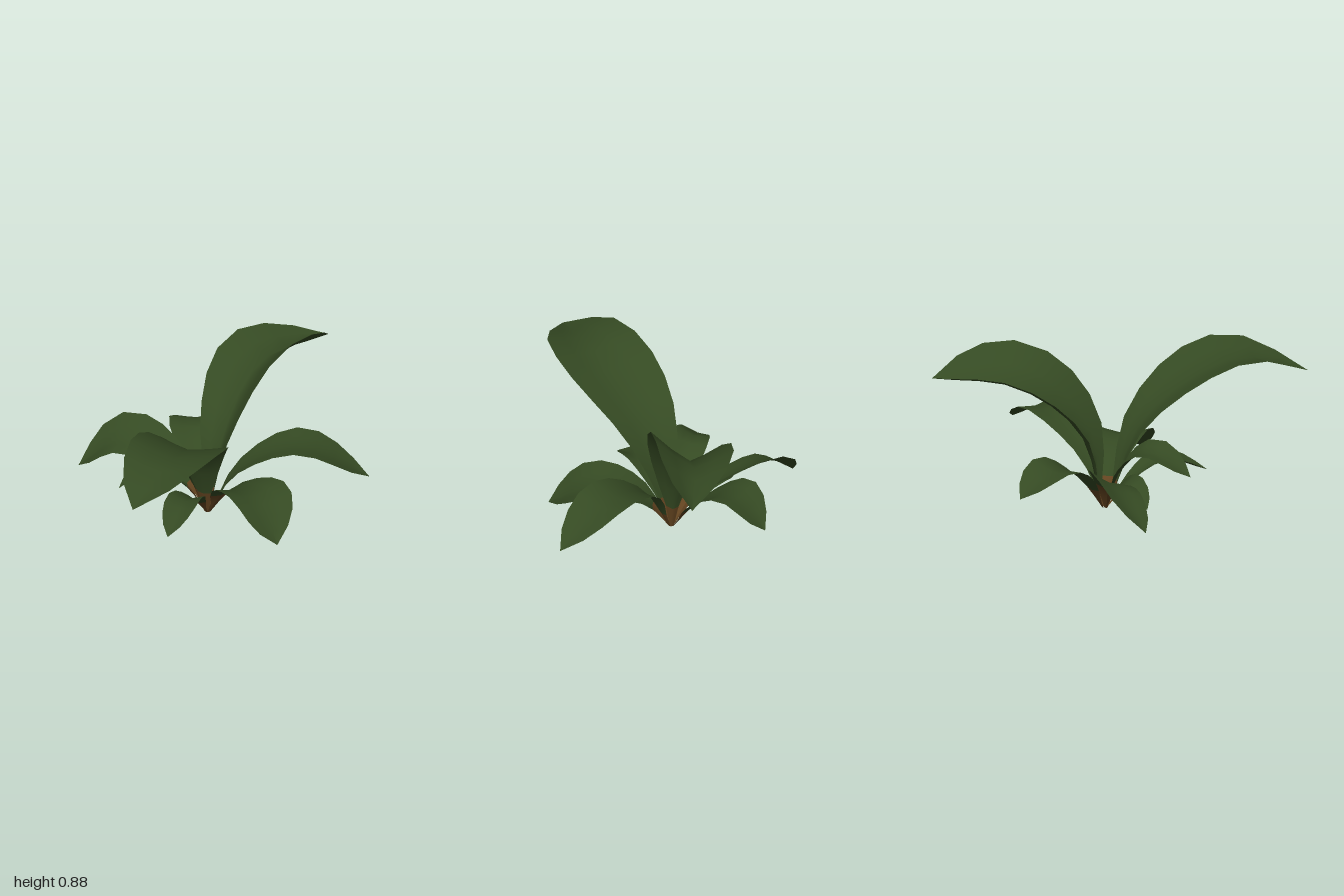
import * as THREE from 'three';

const leafGreen = new THREE.MeshStandardMaterial({ color: 0x354a23, side: THREE.DoubleSide });
leafGreen.name = 'leaf green';
const stemBrown = new THREE.MeshStandardMaterial({ color: 0x634420, side: THREE.DoubleSide });
stemBrown.name = 'stem brown';

const CROWN = new THREE.Vector3(-0.04, 0, -0.14);
const ROWS = 10;
const ACROSS = [-1, -0.5, 0, 0.5, 1];

// A leaf growing from the crown through a lower point and its crest to its tip.
// Looking out from the crown, the lifts raise the right and left edges above the midrib.
function makeLeaf(name, halfWidth, rightLift, leftLift, lower, crest, tip) {
  const end = new THREE.Vector3(...tip);
  const outward = end.clone().sub(CROWN).setY(0).normalize();
  const side = new THREE.Vector3(-outward.z, 0, outward.x);
  const base = CROWN.clone().addScaledVector(outward, 0.015);
  const curve = new THREE.CatmullRomCurve3([
    base, new THREE.Vector3(...lower), new THREE.Vector3(...crest), end,
  ]);

  // Channelled cross-sections, narrow at the stalk and pointed at the tip
  const positions = [];
  for (let i = 0; i <= ROWS; i++) {
    const t = i / ROWS;
    const mid = curve.getPointAt(t);
    const normal = side.clone().cross(curve.getTangentAt(t)).normalize();
    const swell = Math.max(0, Math.sin(Math.PI * t ** 1.52)) ** 0.8;
    const profile = Math.max(swell, 0.05 * (1 - t));
    for (const u of ACROSS) {
      const lift = (u > 0 ? rightLift : leftLift) * Math.abs(u) ** 1.2;
      const p = mid.clone()
        .addScaledVector(side, u * halfWidth * profile)
        .addScaledVector(normal, lift * profile);
      positions.push(p.x, p.y, p.z);
    }
  }

  const n = ACROSS.length;
  const index = [];
  for (let i = 0; i < ROWS; i++) {
    for (let j = 0; j < n - 1; j++) {
      const a = i * n + j;
      index.push(a, a + 1, a + n, a + 1, a + n + 1, a + n);
    }
  }

  const geometry = new THREE.BufferGeometry();
  geometry.setAttribute('position', new THREE.Float32BufferAttribute(positions, 3));
  geometry.setIndex(index);
  geometry.computeVertexNormals();

  // Brown stalk for a fixed length at the base, green blade beyond
  const stalkRows = Math.max(1, Math.round((0.15 / curve.getLength()) * ROWS));
  const split = stalkRows * (n - 1) * 6;
  geometry.addGroup(0, split, 0);
  geometry.addGroup(split, index.length - split, 1);

  const mesh = new THREE.Mesh(geometry, [stemBrown, leafGreen]);
  mesh.name = name;
  return mesh;
}

export function createModel() {
  const plant = new THREE.Group();
  plant.name = 'broadLeafPlant';

  // Two tall arching leaves
  plant.add(
    makeLeaf('frontLargeLeaf', 0.25, 0.06, 0.06, [-0.02, 0.47, 0.08], [0.05, 0.735, 0.6], [0, 0.64, 1]),
    makeLeaf('backLargeLeaf', 0.215, 0.18, 0.09, [0, 0.42, -0.27], [0.07, 0.69, -0.6], [0.3, 0.7, -1]),
  );

  // Medium leaves spreading sideways
  plant.add(
    makeLeaf('leftLeaf', 0.15, 0.025, 0.02, [0.12, 0.27, -0.19], [0.42, 0.42, -0.31], [0.78, 0.25, -0.41]),
    makeLeaf('leftFrontLeaf', 0.175, 0.045, 0.03, [0.1, 0.19, -0.08], [0.33, 0.265, 0.04], [0.51, 0.11, 0.22]),
    makeLeaf('rightLeaf', 0.125, 0.09, -0.03, [-0.17, 0.17, -0.18], [-0.56, 0.295, -0.22], [-0.78, 0.12, -0.13]),
    makeLeaf('rightBackLeaf', 0.145, 0.03, 0.02, [-0.12, 0.18, -0.27], [-0.25, 0.325, -0.48], [-0.31, 0.2, -0.69]),
  );

  // Small leaves low around the crown
  plant.add(
    makeLeaf('rightFrontLeaf', 0.095, 0.005, 0.045, [-0.13, 0.23, -0.08], [-0.26, 0.375, 0.04], [-0.4, 0.26, 0.23]),
    makeLeaf('rightLowLeaf', 0.08, -0.01, 0.05, [-0.15, 0.13, -0.12], [-0.33, 0.215, -0.1], [-0.47, 0.13, -0.03]),
    makeLeaf('frontLowLeaf', 0.09, 0.03, 0.03, [-0.045, 0.14, 0], [-0.04, 0.235, 0.18], [-0.035, 0.15, 0.43]),
  );
  return plant;
}
